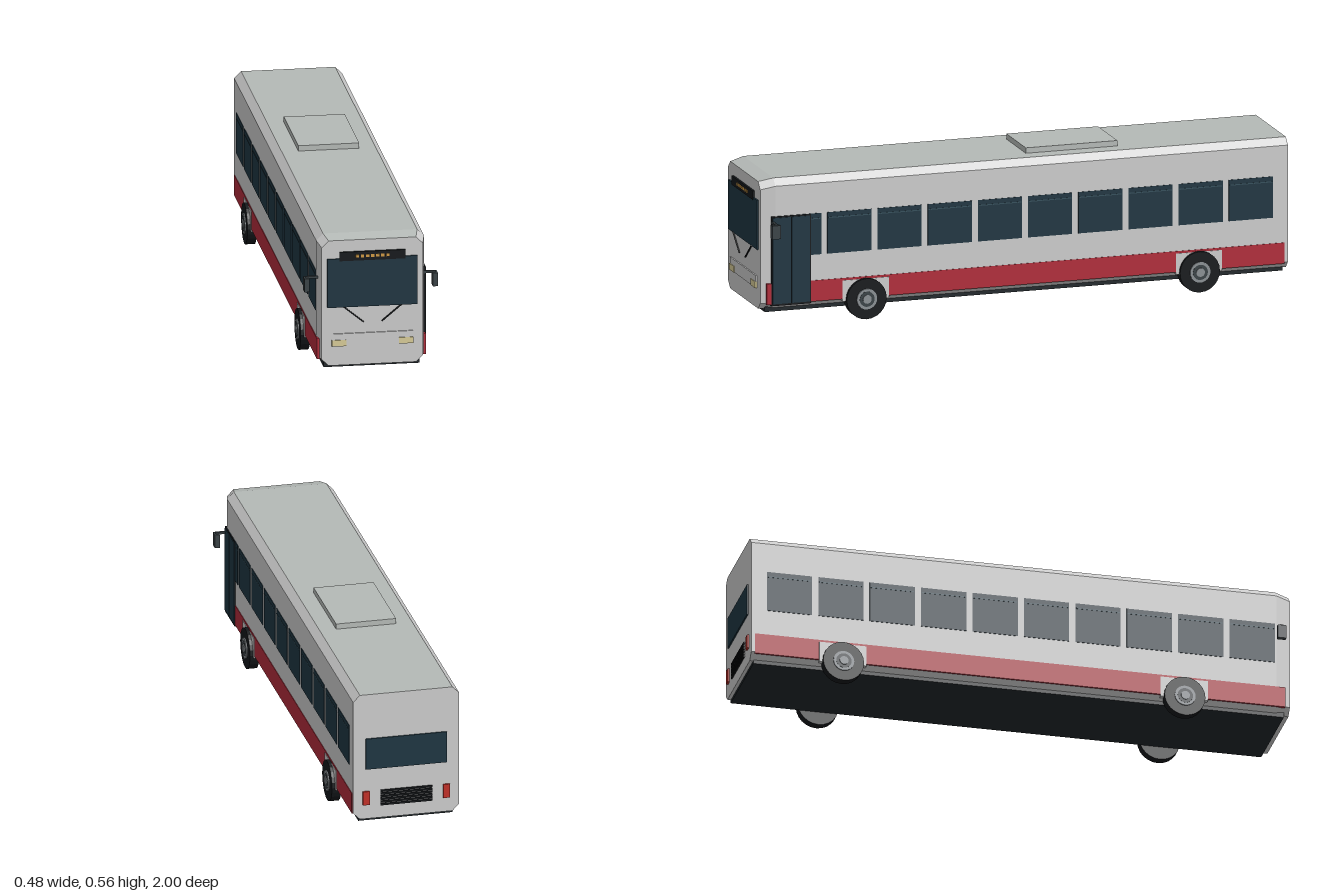
import * as THREE from 'three';

const mat = (color) => new THREE.MeshStandardMaterial({ color, flatShading: true });
const M = {
  body: mat(0xcccccc), roof: mat(0xb4b9b6), glass: mat(0x1e3541), dark: mat(0x20262a),
  black: mat(0x14171a), red: mat(0xb02c3a), lamp: mat(0xd8cc98), amber: mat(0xd09a45),
  tail: mat(0xc03028), rim: mat(0x8a9094), trim: mat(0x35505c), mirror: mat(0x3a4246),
};

export function createModel() {
  const bus = new THREE.Group();
  bus.name = 'bus';

  function add(name, geometry, material, parent = bus) {
    const mesh = new THREE.Mesh(geometry, material);
    mesh.name = name;
    parent.add(mesh);
    return mesh;
  }
  // Box given by its limits on each axis
  function box(name, material, [x0, x1], [y0, y1], [z0, z1], parent = bus) {
    const mesh = add(name, new THREE.BoxGeometry(x1 - x0, y1 - y0, z1 - z0), material, parent);
    mesh.position.set((x0 + x1) / 2, (y0 + y1) / 2, (z0 + z1) / 2);
    return mesh;
  }
  // Box on one side: s = 1 left, -1 right
  function sideBox(name, material, s, [x0, x1], y, z) {
    return box(name, material, s > 0 ? [x0, x1] : [-x1, -x0], y, z);
  }

  // Body shell: chamfered section, drawn in slightly at the nose
  const ring = (w, top, z) => {
    const c = 0.025, b = 0.058;
    return [[w - c, b], [w, b + c], [w, top - c], [w - c, top],
      [c - w, top], [-w, top - c], [-w, b + c], [c - w, b]].map(([x, y]) => [x, y, z]);
  };
  const rings = [ring(0.195, 0.538, -0.993), ring(0.195, 0.538, 0.937), ring(0.183, 0.526, 0.99)];
  const shell = [], roof = [];
  for (let r = 0; r < 2; r++) {
    for (let i = 0; i < 8; i++) {
      const j = (i + 1) % 8, [a, b] = [rings[r], rings[r + 1]];
      (i === 3 ? roof : shell).push(...a[i], ...a[j], ...b[j], ...a[i], ...b[j], ...b[i]);
    }
  }
  for (let i = 1; i < 7; i++) {
    const f = rings[2], k = rings[0];
    shell.push(...f[0], ...f[i], ...f[i + 1], ...k[0], ...k[i + 1], ...k[i]);
  }
  for (const [name, points, material] of [['bodyShell', shell, M.body], ['roof', roof, M.roof]]) {
    const g = new THREE.BufferGeometry();
    g.setAttribute('position', new THREE.Float32BufferAttribute(points, 3));
    g.computeVertexNormals();
    add(name, g, material);
  }
  box('underbody', M.dark, [-0.173, 0.173], [0.047, 0.066], [-0.98, 0.97]);
  box('roofUnit', M.roof, [-0.11, 0.11], [0.53, 0.558], [-0.379, -0.034]);

  // Front: windscreen, destination sign, wipers, bumper and headlights
  box('windscreen', M.glass, [-0.163, 0.163], [0.276, 0.458], [0.98, 0.996]);
  box('destinationSign', M.black, [-0.119, 0.119], [0.45, 0.483], [0.98, 0.998]);
  for (let i = -3; i <= 3; i++) {
    const x = i * 0.0184;
    box('signLight', M.amber, [x - 0.006, x + 0.006], [0.4615, 0.472], [0.99, 0.9995]);
  }
  box('frontBumper', M.body, [-0.146, 0.146], [0.131, 0.177], [0.98, 0.995]);
  for (const s of [1, -1]) {
    sideBox('headlight', M.lamp, s, [0.095, 0.147], [0.131, 0.154], [0.98, 0.998]);
    const wiper = add('wiper', new THREE.BoxGeometry(0.0925, 0.0045, 0.004), M.black);
    wiper.position.set(s * 0.0685, 0.2485, 0.997);
    wiper.rotation.z = s * Math.atan2(0.059, 0.071);
  }

  // Rear: window, tail lights and engine grille
  box('rearWindow', M.glass, [-0.149, 0.149], [0.25, 0.368], [-0.998, -0.98]);
  for (const s of [1, -1]) {
    sideBox('tailLight', M.tail, s, [0.135, 0.16], [0.113, 0.165], [-1, -0.98]);
  }
  for (let i = 0; i < 6; i++) {
    const y = 0.106 + i * 0.0105;
    box('grilleSlat', M.black, [-0.095, 0.095], [y, y + 0.007], [-0.998, -0.98]);
  }

  // Both sides: stripe, windows, wheel arches, wheels and mirrors
  const wheelZ = [0.598, -0.657];
  for (const s of [1, -1]) {
    sideBox('sideStripe', M.red, s, [0.185, 0.197], [0.078, 0.155], [-0.98, 0.97]);
    for (let i = 0; i < 10; i++) {
      const z = -0.853 + i * 0.189;
      sideBox('sideWindow', M.glass, s, [0.185, 0.197], [0.25, 0.402], [z - 0.083, z + 0.083]);
      sideBox('windowVentRail', M.trim, s, [0.19, 0.198], [0.381, 0.385], [z - 0.08, z + 0.08]);
    }
    for (const z of wheelZ) {
      sideBox('wheelArch', M.body, s, [0.18, 0.199], [0.07, 0.147], [z - 0.087, z + 0.087]);
      const wheel = new THREE.Group();
      wheel.name = 'wheel';
      wheel.position.set(s * 0.193, 0.075, z);
      wheel.rotation.z = -s * Math.PI / 2;
      // Each disc: name, radius, inner and outer face along the axle
      for (const [name, r, a, b, m] of [
        ['tyre', 0.075, -0.017, 0.017, M.black],
        ['rim', 0.038, 0, 0.021, M.rim],
        ['rimRecess', 0.028, 0, 0.022, M.mirror],
        ['hub', 0.016, 0, 0.025, M.rim],
      ]) {
        add(name, new THREE.CylinderGeometry(r, r, b - a, 24), m, wheel).position.y = (a + b) / 2;
      }
      bus.add(wheel);
    }
    sideBox('mirrorArm', M.mirror, s, [0.185, 0.235], [0.376, 0.384], [0.943, 0.953]);
    sideBox('mirrorHousing', M.mirror, s, [0.223, 0.241], [0.329, 0.379], [0.932, 0.964]);
  }

  // Double door on the left side, near the front
  box('doorFrame', M.black, [0.18, 0.199], [0.073, 0.402], [0.805, 0.953]);
  for (const z of [0.809, 0.881]) {
    box('doorLeaf', M.glass, [0.185, 0.201], [0.08, 0.397], [z, z + 0.068]);
  }
  return bus;
}
